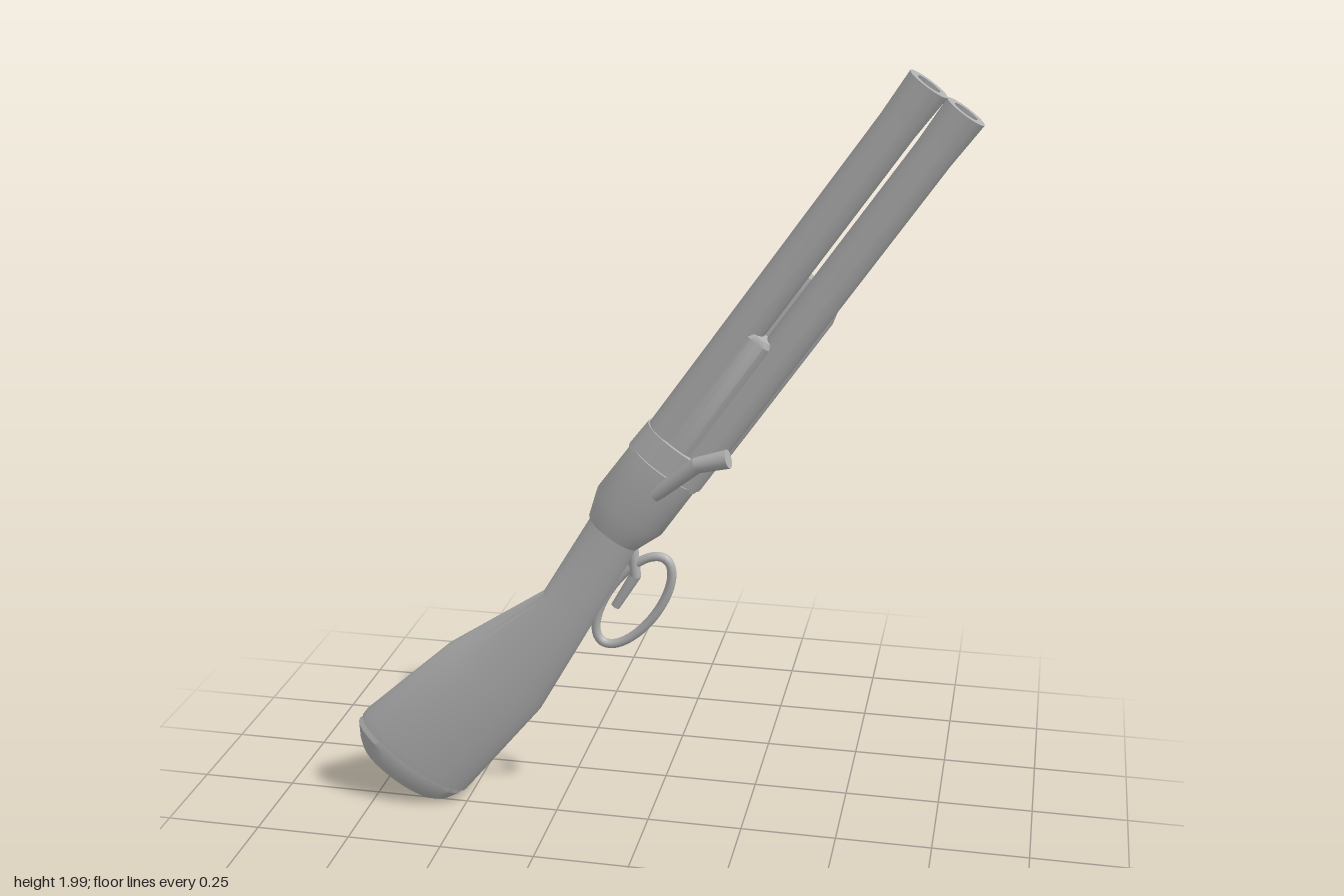
import * as THREE from 'three';
import { toCreasedNormals } from 'three/addons/utils/BufferGeometryUtils.js';

const TILT = THREE.MathUtils.degToRad(55.3);
const MID_Z = -0.008;

// Closed loft along x; each section is [x, yLow, yHigh, halfDepth, zCentre]
function loft(sections, power = 2, sides = 32) {
  const pos = [], idx = [];
  const bend = (c) => Math.sign(c) * Math.pow(Math.abs(c), 2 / power);
  for (const [x, lo, hi, hz, zc = 0] of sections) {
    for (let j = 0; j < sides; j++) {
      const t = (j / sides) * Math.PI * 2;
      pos.push(x, (lo + hi) / 2 + bend(Math.cos(t)) * (hi - lo) / 2, zc + bend(Math.sin(t)) * hz);
    }
  }
  const n = sections.length;
  for (let i = 0; i < n - 1; i++) {
    for (let j = 0; j < sides; j++) {
      const k = (j + 1) % sides;
      const a = i * sides + j, b = i * sides + k, c = a + sides, d = b + sides;
      idx.push(a, b, c, b, d, c);
    }
  }
  // End caps
  for (const end of [0, n - 1]) {
    const s = sections[end], centre = pos.length / 3;
    pos.push(s[0], (s[1] + s[2]) / 2, s[4] ?? 0);
    for (let j = 0; j < sides; j++) {
      const a = end * sides + j, b = end * sides + (j + 1) % sides;
      if (end === 0) idx.push(centre, b, a); else idx.push(centre, a, b);
    }
  }
  const g = new THREE.BufferGeometry();
  g.setAttribute('position', new THREE.Float32BufferAttribute(pos, 3));
  g.setIndex(idx);
  return toCreasedNormals(g, 0.45);
}

export function createModel() {
  const model = new THREE.Group();
  model.name = 'shotgun';
  const gun = new THREE.Group();
  gun.name = 'tiltedGun';
  gun.rotation.z = TILT;
  gun.position.z = MID_Z;
  model.add(gun);

  const gray = new THREE.MeshStandardMaterial({ color: 0xb0b0b0 });
  gray.name = 'gray';

  const add = (name, geometry, parent = gun) => {
    const mesh = new THREE.Mesh(geometry, gray);
    mesh.name = name;
    parent.add(mesh);
    return mesh;
  };

  // Rod of straight lengths with a ball at each inner bend
  const rod = (name, points, radii) => {
    const group = new THREE.Group();
    group.name = name;
    gun.add(group);
    for (let i = 0; i < points.length - 1; i++) {
      const a = new THREE.Vector3(...points[i]), b = new THREE.Vector3(...points[i + 1]);
      const dir = b.clone().sub(a);
      const seg = add(name + 'Length', new THREE.CylinderGeometry(radii[i + 1], radii[i], dir.length(), 16), group);
      seg.position.copy(a).add(b).multiplyScalar(0.5);
      seg.quaternion.setFromUnitVectors(new THREE.Vector3(0, 1, 0), dir.normalize());
      if (i > 0) add(name + 'Bend', new THREE.SphereGeometry(radii[i], 16, 10), group).position.copy(a);
    }
  };

  // Stock and butt pad
  add('stock', loft([
    [-0.255, 0.436, 0.78, 0.079],
    [-0.23, 0.434, 0.779, 0.08],
    [0.08, 0.41, 0.706, 0.071],
    [0.367, 0.438, 0.59, 0.055],
    [0.64, 0.466, 0.61, 0.049],
  ]));
  add('buttPad', loft([
    [-0.329, 0.484, 0.73, 0.058],
    [-0.31, 0.462, 0.752, 0.068],
    [-0.272, 0.443, 0.781, 0.077],
    [-0.25, 0.446, 0.774, 0.075],
  ]));

  // Receiver with a slimmer collar ahead of it
  add('receiver', loft([
    [0.622, 0.464, 0.616, 0.058],
    [0.695, 0.438, 0.64, 0.072],
    [0.85, 0.438, 0.636, 0.07],
  ], 2.3));
  add('collar', loft([
    [0.84, 0.434, 0.641, 0.064],
    [0.92, 0.438, 0.637, 0.06],
  ], 2.3));

  // Two barrels, slightly flared at the muzzle, with open bores
  const barrelProfile = [
    [0, 0.85], [0.049, 0.85], [0.0485, 1.87], [0.0535, 1.991],
    [0.032, 1.991], [0.03, 1.8], [0, 1.8],
  ].map(([r, y]) => new THREE.Vector2(r, y));
  const barrelGeometry = toCreasedNormals(
    new THREE.LatheGeometry(barrelProfile, 32).rotateZ(-Math.PI / 2), 0.45);
  add('upperBarrel', barrelGeometry).position.y = 0.584;
  add('lowerBarrel', barrelGeometry).position.y = 0.478;

  // Filler between the barrels and the side grip at the back
  add('barrelBridge', loft([
    [0.88, 0.495, 0.585, 0.05],
    [1.262, 0.498, 0.582, 0.05],
    [1.275, 0.506, 0.574, 0.044],
  ], 3.5, 24));
  add('sideGrip', loft([
    [0.91, 0.418, 0.59, 0.044, -0.05],
    [1.385, 0.418, 0.59, 0.044, -0.05],
    [1.45, 0.435, 0.575, 0.024, -0.042],
  ], 2.3));

  // Bolt handle on the front side
  rod('boltHandle', [
    [0.79, 0.515, 0.058], [0.93, 0.478, 0.08], [0.995, 0.427, 0.088],
  ], [0.018, 0.02, 0.024]);

  // Trigger and its oval guard
  rod('trigger', [
    [0.612, 0.475, 0], [0.555, 0.427, 0], [0.452, 0.419, 0],
  ], [0.015, 0.015, 0.012]);
  const oval = Array.from({ length: 32 }, (_, i) => {
    const t = (i / 32) * Math.PI * 2;
    return new THREE.Vector3(0.495 + 0.147 * Math.cos(t), 0.391 + 0.066 * Math.sin(t), 0);
  });
  add('triggerGuard', new THREE.TubeGeometry(new THREE.CatmullRomCurve3(oval, true), 64, 0.012, 12, true));

  return model;
}
